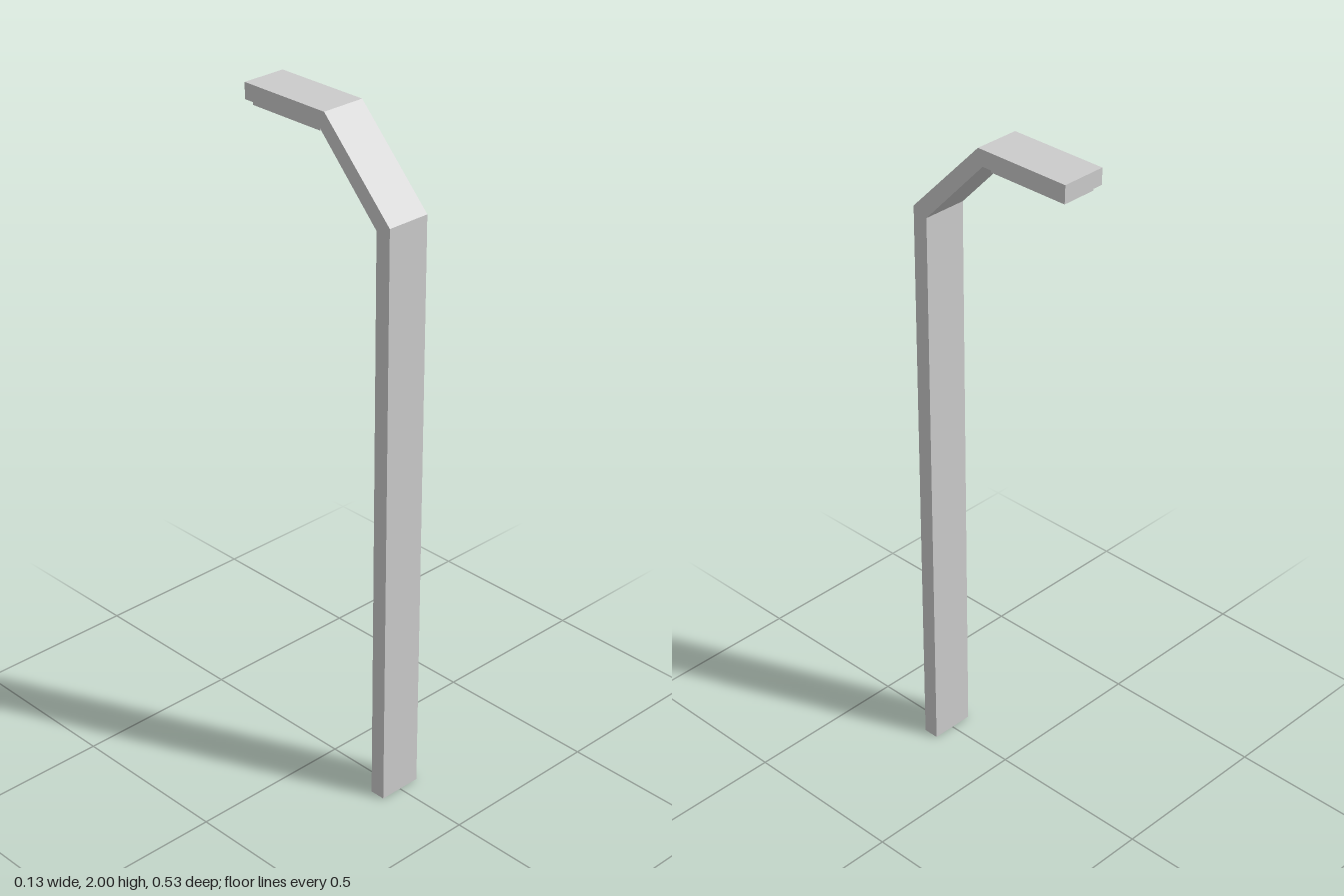
import * as THREE from 'three';

const WIDTH = 0.134;

export function createModel() {
  const model = new THREE.Group();
  model.name = 'streetLamp';
  const material = new THREE.MeshStandardMaterial({ color: 0xcccccc, flatShading: true });

  // Bent flat post: side profile as (z, y), extruded across the width
  const profile = [
    [0.267, 0], [0.267, 1.755], [0.03, 2], [-0.267, 2],
    [-0.267, 1.953], [0.014, 1.953], [0.22, 1.735], [0.22, 0],
  ];
  const shape = new THREE.Shape(profile.map(([z, y]) => new THREE.Vector2(-z, y)));
  const postGeometry = new THREE.ExtrudeGeometry(shape, { depth: WIDTH, bevelEnabled: false });
  postGeometry.translate(0, 0, -WIDTH / 2);
  postGeometry.rotateY(Math.PI / 2); // profile -z runs along shape x
  const post = new THREE.Mesh(postGeometry, material);
  post.name = 'bentPost';
  model.add(post);

  // Thin light panel under the arm
  const panel = new THREE.Mesh(new THREE.BoxGeometry(WIDTH - 0.03, 0.02, 0.252), material);
  panel.name = 'lightPanel';
  panel.position.set(0, 1.947, -0.126);
  model.add(panel);

  return model;
}
